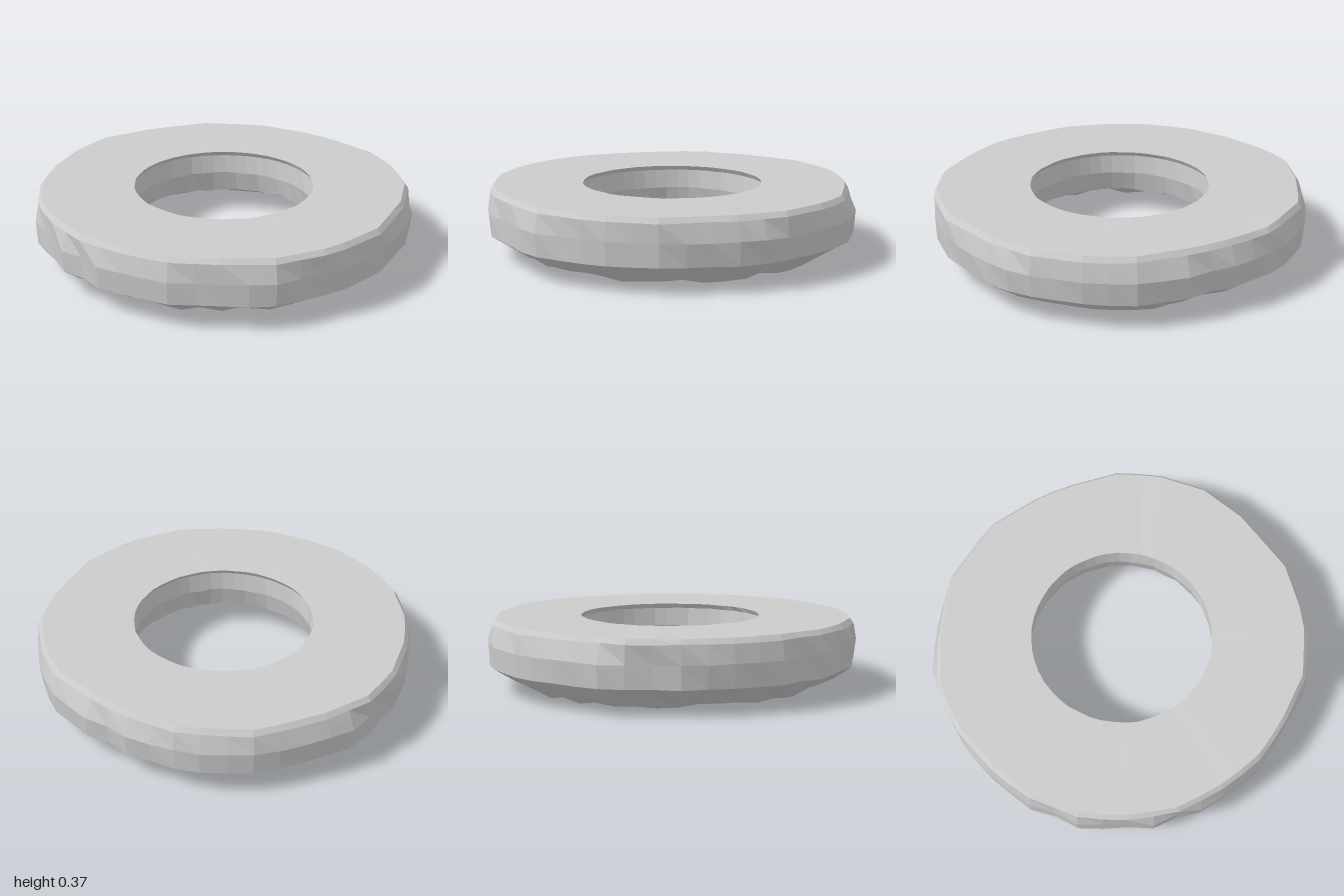
import * as THREE from 'three';

const SEGMENTS = 48;

// Irregular outlines as [x, z] corners, going round from the front towards +x
const WIDEST = [[0.14, 0.98], [0.27, 0.97], [0.46, 0.85], [0.6, 0.78], [0.78, 0.59], [0.83, 0.53], [0.97, 0.23],
  [1, 0.12], [0.98, -0.1], [0.95, -0.3], [0.86, -0.52], [0.7, -0.7], [0.54, -0.78], [0.49, -0.85], [0.25, -0.95],
  [0.12, -0.99], [-0.15, -0.99], [-0.38, -0.92], [-0.64, -0.81], [-0.76, -0.6], [-0.86, -0.49], [-0.92, -0.38],
  [-0.97, -0.2], [-1, 0], [-0.97, 0.1], [-0.97, 0.27], [-0.84, 0.47], [-0.8, 0.61], [-0.68, 0.68], [-0.6, 0.79],
  [-0.27, 0.96], [-0.1, 0.95]];
const TOP_RIM = [[0.25, 0.92], [0.52, 0.8], [0.75, 0.58], [0.9, 0.25], [0.95, 0], [0.91, -0.25], [0.83, -0.45],
  [0.6, -0.68], [0.48, -0.77], [0.22, -0.91], [-0.14, -0.94], [-0.46, -0.82], [-0.69, -0.68], [-0.82, -0.5],
  [-0.93, -0.2], [-0.95, 0], [-0.92, 0.27], [-0.83, 0.46], [-0.68, 0.66], [-0.5, 0.79], [-0.27, 0.9], [-0.05, 0.93]];

// Distance from the centre to an outline in direction a
function radiusAt(outline, a) {
  const dx = Math.sin(a), dz = Math.cos(a);
  for (let i = 0; i < outline.length; i++) {
    const [px, pz] = outline[i], [qx, qz] = outline[(i + 1) % outline.length];
    const ex = qx - px, ez = qz - pz;
    const det = dx * ez - dz * ex;
    if (Math.abs(det) < 1e-9) continue;
    const r = (px * ez - pz * ex) / det;
    const t = (px * dz - pz * dx) / det;
    if (r > 0 && t >= -1e-6 && t <= 1 + 1e-6) return r;
  }
  return 0.96;
}

function seeded(seed) {
  return () => {
    seed = (seed * 16807) % 2147483647;
    return seed / 2147483647 - 0.5;
  };
}

// Cross-section from the top rim down the outside, under and up the hole:
// radius as a function of direction, height, radial and vertical roughness
const rim = a => radiusAt(TOP_RIM, a);
const wide = a => radiusAt(WIDEST, a);
const SECTION = [
  [rim, 0.37, 0, 0.003],
  [a => rim(a) + 0.02, 0.345, 0, 0.005],
  [a => 0.75 * wide(a) + 0.25 * rim(a), 0.25, 0.006, 0.004],
  [a => 0.6 * wide(a) + 0.4 * rim(a), 0.135, 0.012, 0.004],
  [a => 0.88 * wide(a), 0.075, 0.02, 0.012],
  [a => 0.77 * wide(a), 0.018, 0.04, 0.03],
  [() => 0.5, 0.13, 0.012, 0.012],
  [() => 0.475, 0.24, 0.008, 0.006],
  [() => 0.487, 0.34, 0.004, 0.003],
  [() => 0.47, 0.365, 0.006, 0.002],
];

function ringGeometry() {
  const rand = seeded(71);
  const positions = [], index = [];
  for (const [radius, height, roughR, roughY] of SECTION) {
    for (let j = 0; j < SEGMENTS; j++) {
      const a = (j / SEGMENTS) * Math.PI * 2;
      const r = radius(a) + rand() * roughR;
      const y = Math.max(0, height + rand() * roughY);
      positions.push(r * Math.sin(a), y, r * Math.cos(a));
    }
  }
  // Join neighbouring loops, closing the section across the flat top
  for (let i = 0; i < SECTION.length; i++) {
    const upper = i * SEGMENTS, lower = ((i + 1) % SECTION.length) * SEGMENTS;
    for (let j = 0; j < SEGMENTS; j++) {
      const k = (j + 1) % SEGMENTS;
      index.push(upper + j, lower + j, lower + k, upper + j, lower + k, upper + k);
    }
  }
  const geometry = new THREE.BufferGeometry();
  geometry.setAttribute('position', new THREE.Float32BufferAttribute(positions, 3));
  geometry.setIndex(index);
  geometry.computeVertexNormals();
  return geometry;
}

export function createModel() {
  const group = new THREE.Group();
  group.name = 'roughStoneRing';
  const ring = new THREE.Mesh(ringGeometry(), new THREE.MeshStandardMaterial({ color: 0xcccccc, flatShading: true }));
  ring.name = 'ring';
  group.add(ring);
  return group;
}
